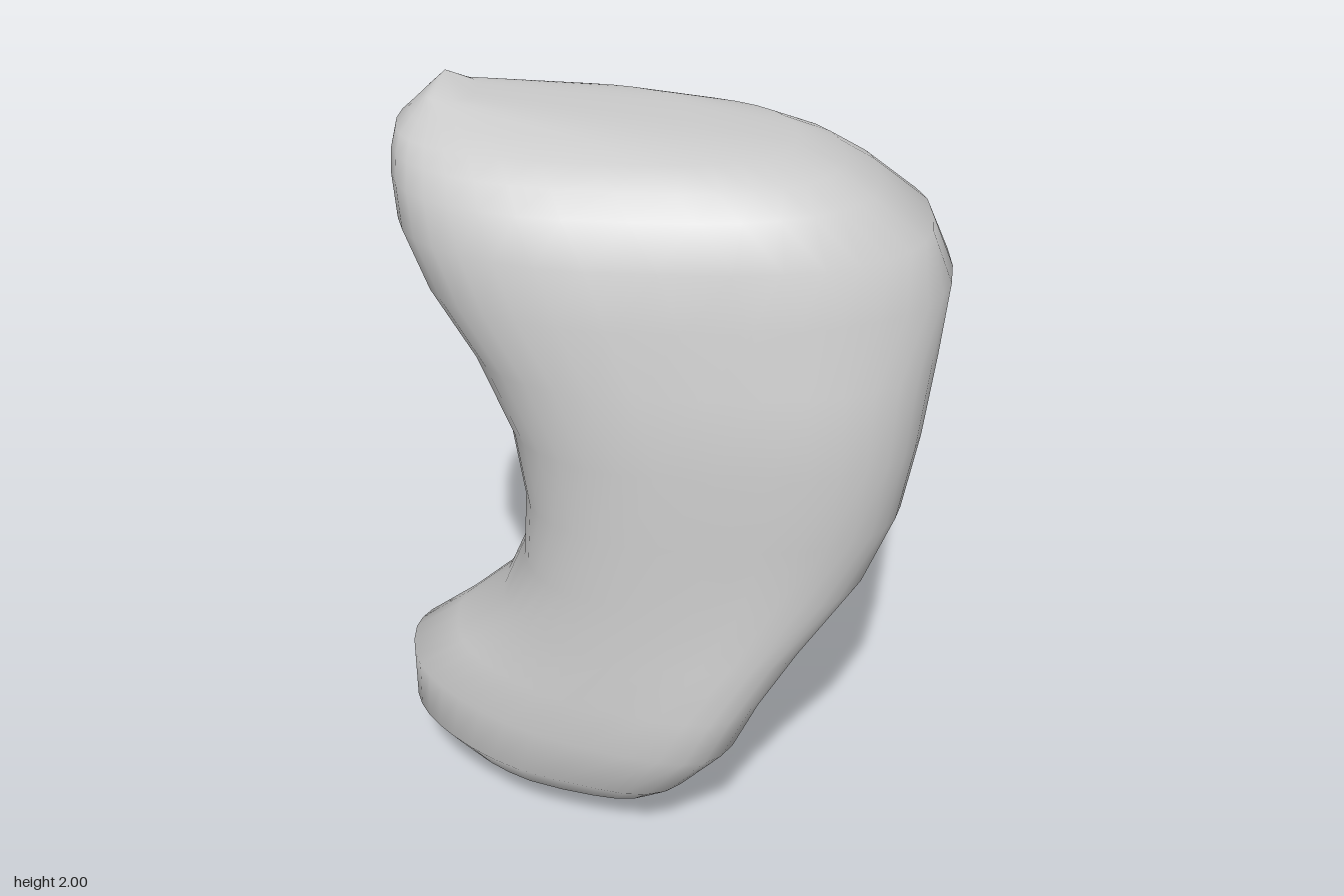
import * as THREE from 'three';

// Horizontal sections: height, x range, z range, half width across the diagonal,
// and how much wider the front end is than the back end
const SECTIONS = [
  [0.012, -0.33, -0.03, -0.33, -0.03, 0.14, 0.1],
  [0.07, -0.47, 0.08, -0.50, 0.12, 0.29, 0.2],
  [0.14, -0.54, 0.13, -0.58, 0.22, 0.37, 0.3],
  [0.22, -0.60, 0.16, -0.63, 0.31, 0.41, 0.35],
  [0.37, -0.60, 0.18, -0.62, 0.43, 0.42, 0.35],
  [0.50, -0.55, 0.22, -0.48, 0.47, 0.40, 0.3],
  [0.65, -0.50, 0.28, -0.34, 0.52, 0.375, 0.2],
  [0.82, -0.48, 0.36, -0.28, 0.58, 0.36, 0.05],
  [1.00, -0.47, 0.41, -0.28, 0.62, 0.36, 0],
  [1.20, -0.485, 0.455, -0.32, 0.64, 0.38, 0],
  [1.40, -0.53, 0.53, -0.42, 0.63, 0.415, 0],
  [1.56, -0.58, 0.60, -0.52, 0.60, 0.43, 0],
  [1.70, -0.60, 0.54, -0.59, 0.57, 0.42, 0],
  [1.80, -0.58, 0.44, -0.61, 0.46, 0.38, 0],
  [1.855, -0.55, 0.36, -0.62, 0.39, 0.34, 0],
  [1.895, -0.52, 0.27, -0.60, 0.28, 0.28, 0],
  [1.925, -0.47, 0.10, -0.57, 0.04, 0.21, 0],
  [1.955, -0.41, -0.24, -0.55, -0.38, 0.10, 0],
];
const SIDES = 36;
const POWER = 2.6; // slightly squared ovals

// Maps values so that they span exactly lo to hi
function span(values, lo, hi) {
  const min = Math.min(...values), max = Math.max(...values);
  return values.map((v) => THREE.MathUtils.mapLinear(v, min, max, lo, hi));
}

// One slanted oval that fits its x and z range
function ring([y, x0, x1, z0, z1, w, egg]) {
  const X = (x1 - x0) / 2, Z = (z1 - z0) / 2;
  const slant = Math.acos((X * X + Z * Z - 2 * w * w) / (2 * X * Z)) / 2;
  const soft = (v) => Math.sign(v) * Math.pow(Math.abs(v), 2 / POWER);
  const xs = [], zs = [];
  for (let i = 0; i < SIDES; i++) {
    const t = (i / SIDES) * Math.PI * 2;
    const c = Math.cos(slant) * soft(Math.cos(t));
    const s = Math.sin(slant) * soft(Math.sin(t)) * (1 + egg * Math.cos(t));
    xs.push(c + s);
    zs.push(c - s);
  }
  const fitZ = span(zs, z0, z1);
  return span(xs, x0, x1).flatMap((x, i) => [x, y, fitZ[i]]);
}

function bodyGeometry() {
  const positions = SECTIONS.flatMap(ring);
  const index = [];
  const rows = SECTIONS.length;
  const bottom = rows * SIDES, top = bottom + 1;
  positions.push(-0.18, 0, -0.18, -0.33, 2, -0.48);
  for (let i = 0; i < SIDES; i++) {
    const j = (i + 1) % SIDES;
    for (let r = 0; r < rows - 1; r++) {
      const a = r * SIDES + i, b = r * SIDES + j;
      index.push(a, b, b + SIDES, a, b + SIDES, a + SIDES);
    }
    // End caps
    const last = (rows - 1) * SIDES;
    index.push(bottom, j, i, top, last + i, last + j);
  }
  const geometry = new THREE.BufferGeometry();
  geometry.setAttribute('position', new THREE.Float32BufferAttribute(positions, 3));
  geometry.setIndex(index);
  geometry.computeVertexNormals();
  return geometry;
}

export function createModel() {
  const group = new THREE.Group();
  group.name = 'kidneyBean';
  // Curved bean body
  const body = new THREE.Mesh(bodyGeometry(), new THREE.MeshStandardMaterial({ color: 0xcccccc }));
  body.name = 'beanBody';
  group.add(body);
  return group;
}
